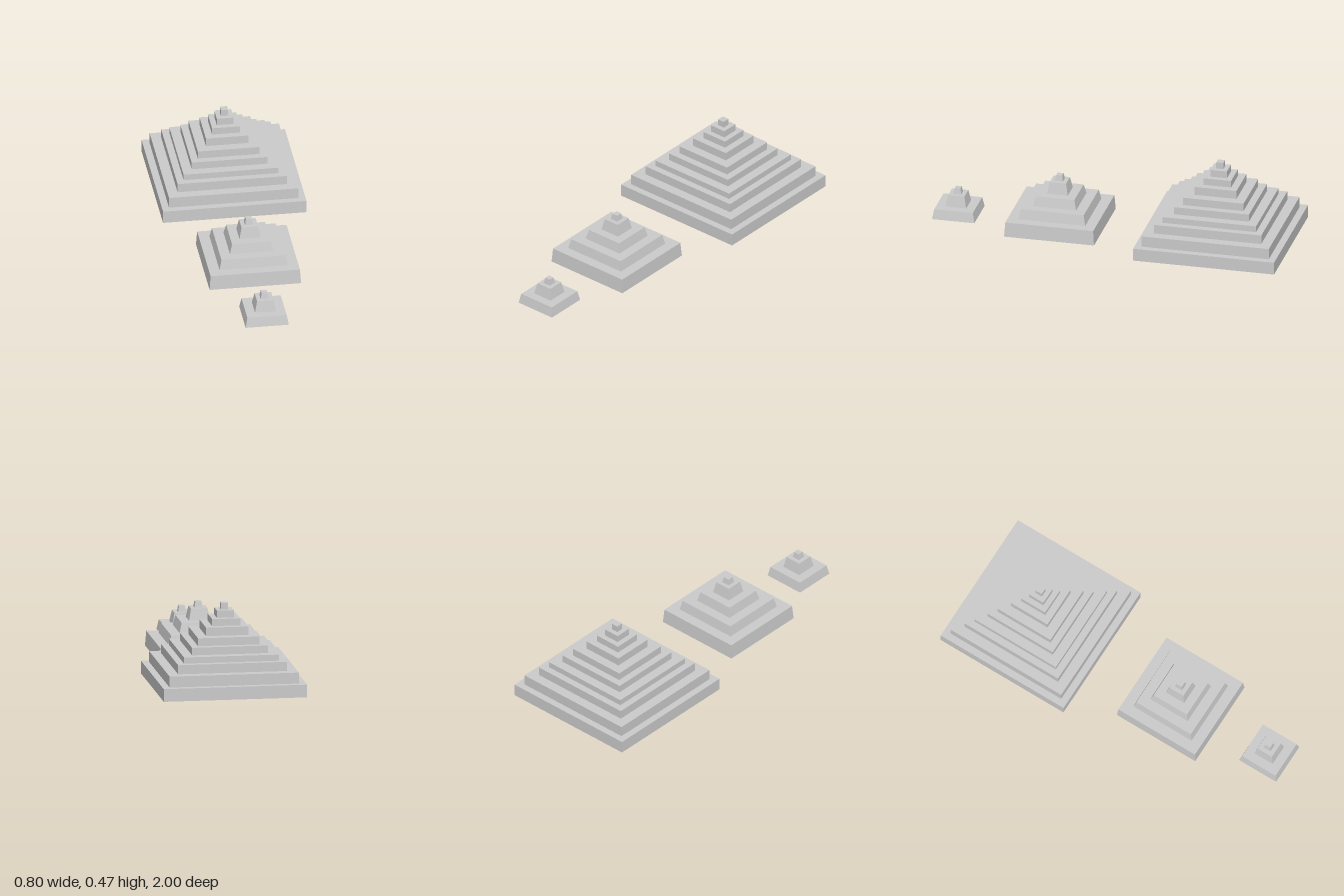
import * as THREE from 'three';

const material = new THREE.MeshStandardMaterial({
  color: 0xcccccc, flatShading: true, side: THREE.DoubleSide,
});

// Hollow square stepped shell, open underneath.
// Each tier is [half width at bottom, half width at top, height of top].
function steppedPyramid(name, z, tiers) {
  const profile = [];
  let y = 0;
  for (const [bottom, top, topY] of tiers) {
    profile.push(new THREE.Vector2(bottom * Math.SQRT2, y));
    profile.push(new THREE.Vector2(top * Math.SQRT2, topY));
    y = topY;
  }
  profile.push(new THREE.Vector2(0, y)); // flat cap
  const geometry = new THREE.LatheGeometry(profile, 4, Math.PI / 4).toNonIndexed();
  geometry.computeVertexNormals();
  const mesh = new THREE.Mesh(geometry, material);
  mesh.name = name;
  mesh.position.z = z;
  return mesh;
}

export function createModel() {
  const model = new THREE.Group();
  model.name = 'steppedPyramids';

  // Large pyramid: ten upright tiers
  const large = [
    [0.398, 0.071], [0.359, 0.132], [0.303, 0.183], [0.264, 0.217], [0.211, 0.259],
    [0.171, 0.303], [0.118, 0.350], [0.078, 0.389], [0.047, 0.429], [0.02, 0.466],
  ].map(([half, top]) => [half, half, top]);
  model.add(steppedPyramid('largePyramid', -0.602, large));

  // Medium pyramid: five sloping tiers
  model.add(steppedPyramid('mediumPyramid', 0.306, [
    [0.254, 0.248, 0.083], [0.189, 0.177, 0.139], [0.121, 0.108, 0.194],
    [0.059, 0.046, 0.259], [0.023, 0.017, 0.292],
  ]));

  // Small pyramid: three sloping tiers
  model.add(steppedPyramid('smallPyramid', 0.88, [
    [0.12, 0.109, 0.056], [0.059, 0.046, 0.12], [0.022, 0.016, 0.153],
  ]));

  return model;
}
